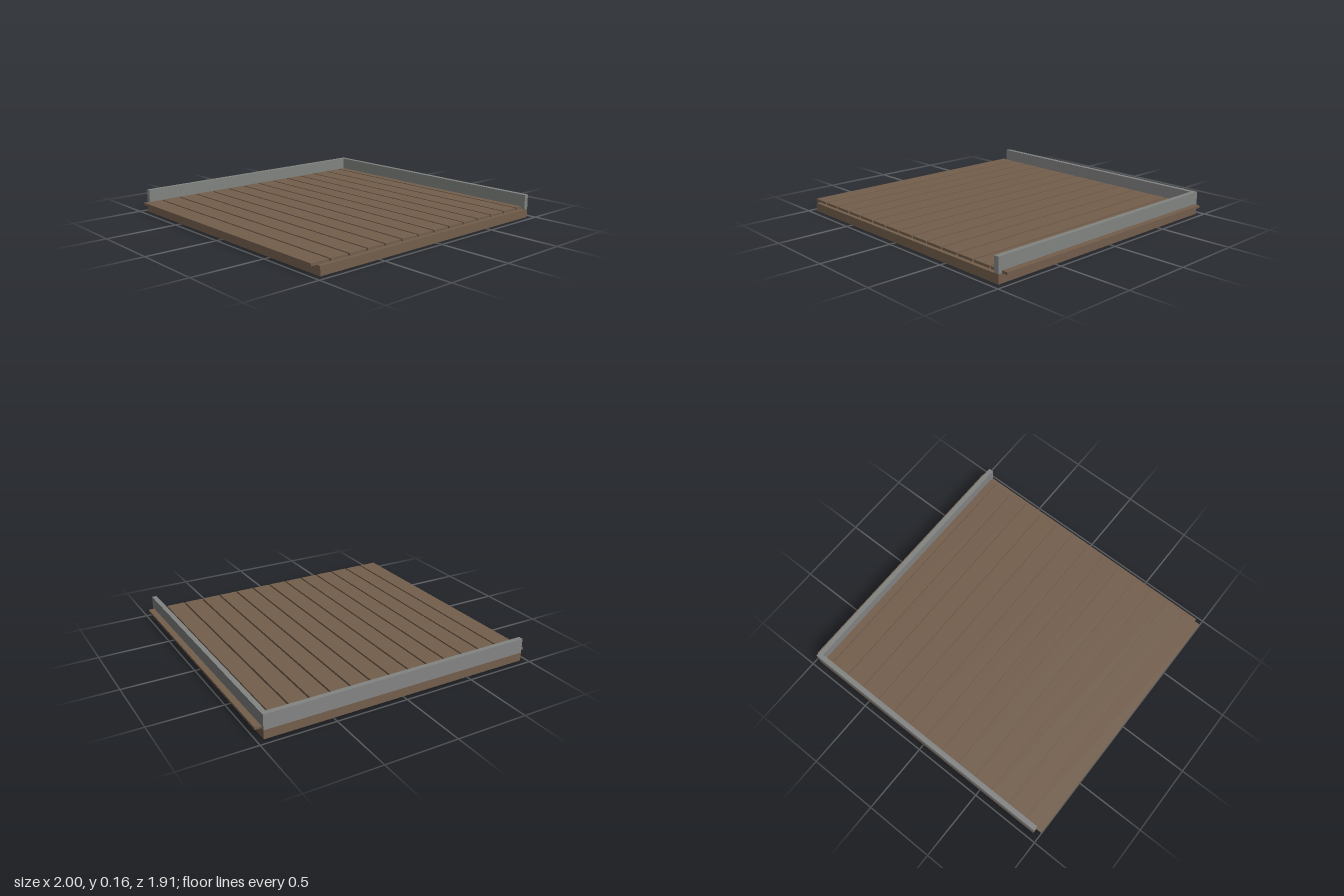
import * as THREE from 'three';

export function createModel() {
  const model = new THREE.Group();
  const wood = new THREE.MeshStandardMaterial({ color: 0x735e4c });
  const stone = new THREE.MeshStandardMaterial({ color: 0x828482 });

  // Box given by its lower and upper corners
  function box(name, material, [x0, y0, z0], [x1, y1, z1], parent = model) {
    const mesh = new THREE.Mesh(new THREE.BoxGeometry(x1 - x0, y1 - y0, z1 - z0), material);
    mesh.position.set((x0 + x1) / 2, (y0 + y1) / 2, (z0 + z1) / 2);
    mesh.name = name;
    parent.add(mesh);
  }

  const half = 0.957, deckY = 0.06, plankTop = 0.077, wallTop = 0.163, wallInner = 0.923;

  // Solid base slab
  box('base', wood, [-half, 0, -half], [half, deckY, half]);

  // Row of floor planks with narrow gaps, overhanging the base at both sides
  const planks = new THREE.Group();
  planks.name = 'planks';
  model.add(planks);
  const count = 14, gap = 0.013, pitch = (2 + gap) / count;
  for (let i = 0; i < count; i++) {
    const x = -1 + i * pitch;
    box(`plank${i + 1}`, wood, [x, deckY, -0.93], [x + pitch - gap, plankTop, 0.93], planks);
  }

  // Low walls along the back and the left side, meeting at the corner
  box('backWall', stone, [-half, deckY, -half], [half, wallTop, -wallInner]);
  box('leftWall', stone, [wallInner, deckY, -wallInner], [half, wallTop, half]);

  return model;
}
